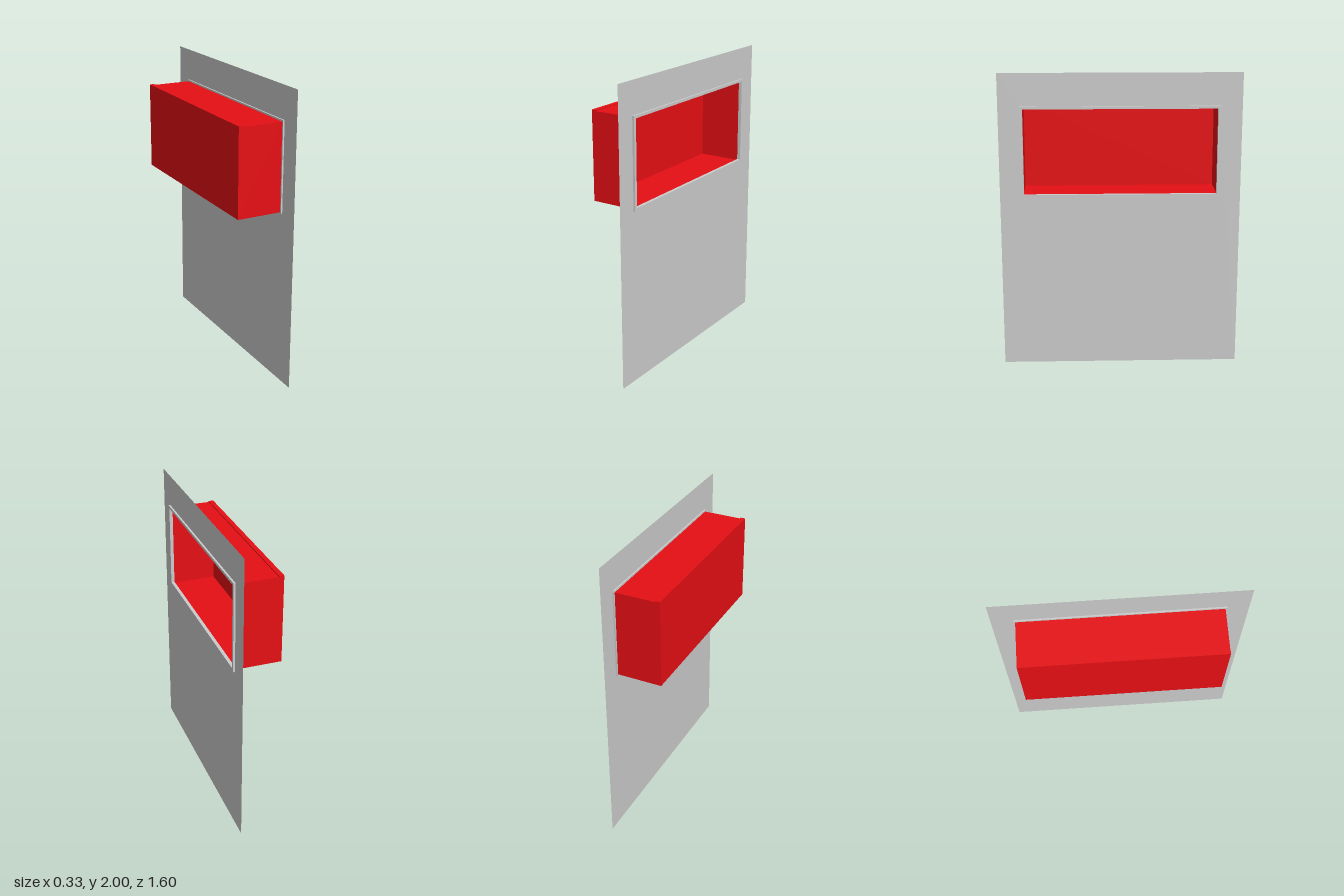
import * as THREE from 'three';

export function createModel() {
  const group = new THREE.Group();
  const grey = new THREE.MeshStandardMaterial({ color: 0xcccccc, side: THREE.DoubleSide });
  const red = new THREE.MeshStandardMaterial({ color: 0xe60f14, side: THREE.DoubleSide });

  const WALL_X = 0.15, BACK_X = -0.163, FRONT_X = 0.14;
  const Y0 = 1.185, Y1 = 1.772, HALF = 0.65;

  const add = (name, geometry, material, x = 0, y = 0, z = 0) => {
    const mesh = new THREE.Mesh(geometry, material);
    mesh.name = name;
    mesh.position.set(x, y, z);
    group.add(mesh);
    return mesh;
  };

  // Rectangle across z (drawn as shape x) and y
  const rect = (Type, half, y0, y1) => new Type([
    new THREE.Vector2(-half, y0), new THREE.Vector2(half, y0),
    new THREE.Vector2(half, y1), new THREE.Vector2(-half, y1),
  ]);

  // Thin wall panel with an opening for the niche
  const wall = rect(THREE.Shape, 0.8, 0, 2);
  wall.holes.push(rect(THREE.Path, HALF, Y0, Y1));
  add('wallPanel', new THREE.ShapeGeometry(wall).rotateY(Math.PI / 2), grey, WALL_X);

  // Frame around the opening, proud of the wall on both sides
  const frame = rect(THREE.Shape, 0.66, 1.175, 1.783);
  frame.holes.push(rect(THREE.Path, 0.64, 1.195, 1.765));
  const frameGeo = new THREE.ExtrudeGeometry(frame, { depth: 0.023, bevelEnabled: false });
  add('openingFrame', frameGeo.rotateY(Math.PI / 2), grey, FRONT_X);

  // Niche: five thin sheets, open towards +x
  const depth = FRONT_X - BACK_X, height = Y1 - Y0;
  const midX = (FRONT_X + BACK_X) / 2, midY = (Y0 + Y1) / 2;
  add('nicheBack', new THREE.PlaneGeometry(2 * HALF, height).rotateY(-Math.PI / 2), red, BACK_X, midY);
  for (const [name, y, turn] of [['nicheFloor', Y0, 1], ['nicheCeiling', Y1, -1]]) {
    add(name, new THREE.PlaneGeometry(depth, 2 * HALF).rotateX(turn * Math.PI / 2), red, midX, y);
  }
  for (const [name, s] of [['nicheFrontSide', 1], ['nicheRearSide', -1]]) {
    const side = new THREE.PlaneGeometry(depth, height);
    if (s < 0) side.rotateY(Math.PI);
    add(name, side, red, midX, midY, s * HALF);
  }

  // Low ridge on top of the niche along its back edge
  add('topRidge', new THREE.BoxGeometry(0.033, 0.007, 2 * HALF), red, BACK_X + 0.0165, Y1 + 0.0035);

  // Light strip under the ceiling, against the back
  add('lightStrip', new THREE.BoxGeometry(0.034, 0.02, 1.2), grey, BACK_X + 0.018, Y1 - 0.011);

  return group;
}
